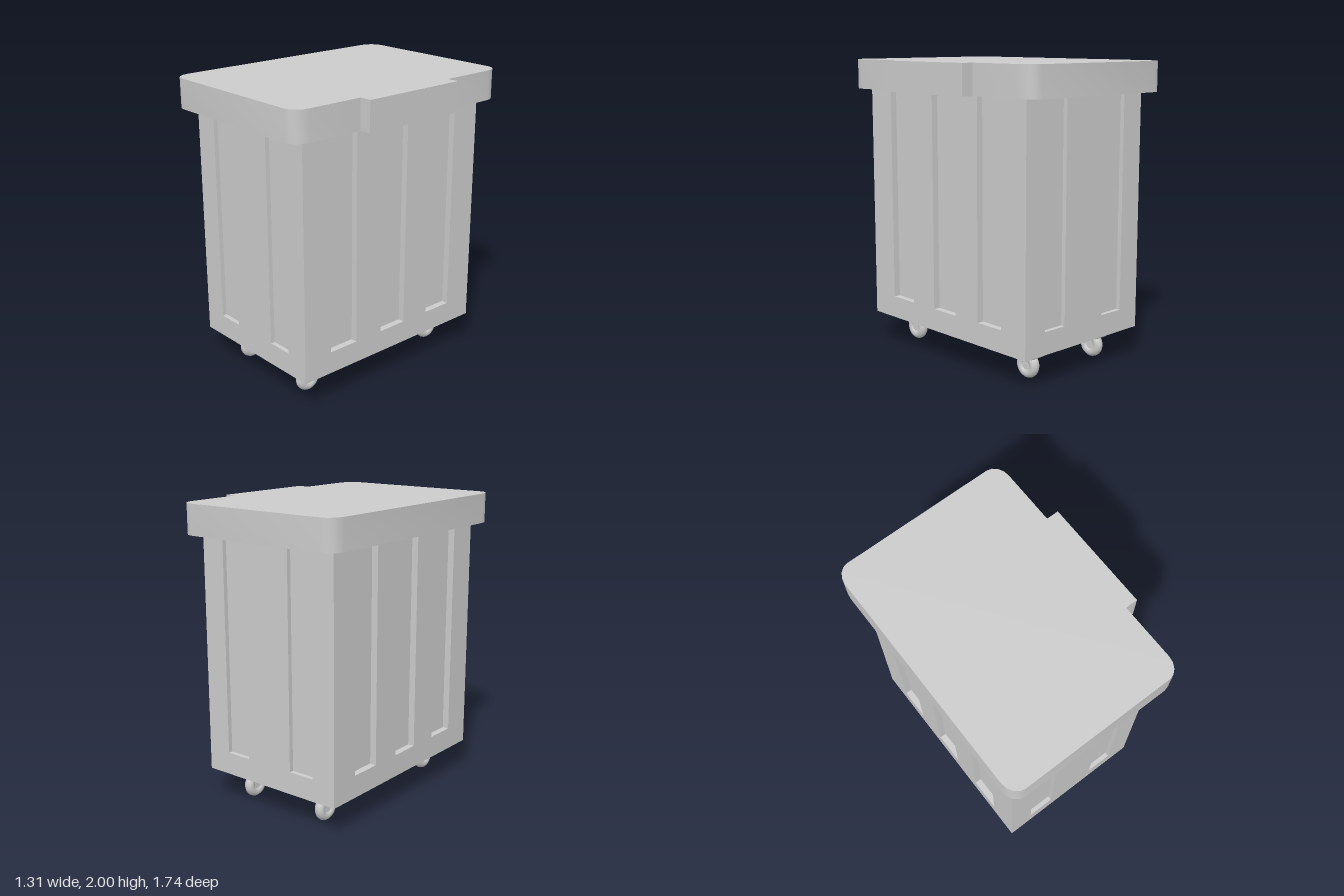
import * as THREE from 'three';
import { mergeGeometries, toCreasedNormals } from 'three/addons/utils/BufferGeometryUtils.js';

const grey = new THREE.MeshStandardMaterial({ color: 0xcccccc, side: THREE.DoubleSide });

function part(name, geometry, parent) {
  const mesh = new THREE.Mesh(geometry, grey);
  mesh.name = name;
  parent.add(mesh);
  return mesh;
}

// Extrudes a plan outline of [x, z] between two heights
function slab(shape, y0, y1, curveSegments = 3) {
  const g = new THREE.ExtrudeGeometry(shape, { depth: y1 - y0, bevelEnabled: false, curveSegments });
  return g.rotateX(-Math.PI / 2).translate(0, y0, 0);
}

const X0 = -0.57, X1 = 0.49, Z = 0.755;
const END_GROOVES = [[-0.4, -0.215], [0.14, 0.32]];
const SIDE_GROOVES = [[-0.543, -0.325], [-0.108, 0.108], [0.325, 0.543]];
const END_DEPTH = 0.03, SIDE_DEPTH = 0.045;

// Plan outline of the bin with grooves cut into all four walls
function groovedOutline() {
  const pts = [];
  const wall = (grooves, flip, place) => {
    const list = flip ? grooves.map(([a, b]) => [b, a]).reverse() : grooves;
    for (const [a, b] of list) pts.push(place(a, 0), place(a, 1), place(b, 1), place(b, 0));
  };
  const add = (x, z) => pts.push(new THREE.Vector2(x, z));
  add(X0, -Z);
  wall(END_GROOVES, false, (t, d) => new THREE.Vector2(t, -Z + d * END_DEPTH));
  add(X1, -Z);
  wall(SIDE_GROOVES, false, (t, d) => new THREE.Vector2(X1 - d * SIDE_DEPTH, t));
  add(X1, Z);
  wall(END_GROOVES, true, (t, d) => new THREE.Vector2(t, Z - d * END_DEPTH));
  add(X0, Z);
  wall(SIDE_GROOVES, true, (t, d) => new THREE.Vector2(X0 + d * SIDE_DEPTH, t));
  return new THREE.Shape(pts);
}

// Lid plan: rounded rectangle with a handle tab on the +x side
function lidOutline() {
  const l = -0.655, r = 0.57, z = 0.87, cx = 0.09, cz = 0.11, tab = 0.653, tz = 0.375;
  const k = 0.45; // how far the control points stay from the corner
  const s = new THREE.Shape();
  s.moveTo(l + cx, -z);
  s.lineTo(r - cx, -z);
  s.bezierCurveTo(r - cx * k, -z, r, -z + cz * k, r, -z + cz);
  s.lineTo(r, -tz);
  s.lineTo(tab, -tz);
  s.lineTo(tab, tz);
  s.lineTo(r, tz);
  s.lineTo(r, z - cz);
  s.bezierCurveTo(r, z - cz * k, r - cx * k, z, r - cx, z);
  s.lineTo(l + cx, z);
  s.bezierCurveTo(l + cx * k, z, l, z - cz * k, l, z - cz);
  s.lineTo(l, -z + cz);
  s.bezierCurveTo(l, -z + cz * k, l + cx * k, -z, l + cx, -z);
  return s;
}

// Curved guard swept over the wheel, with closed ends
function guardGeometry() {
  const profile = [[0.095, -0.052], [0.118, -0.052], [0.136, -0.04], [0.136, 0.04], [0.118, 0.052], [0.095, 0.052]]
    .map(([r, h]) => new THREE.Vector2(r, h));
  const half = 0.95, start = Math.PI * 1.5 - half;
  const sweep = new THREE.LatheGeometry([...profile, profile[0]], 16, start, half * 2);
  const caps = [start, start + half * 2].map((phi) =>
    new THREE.ShapeGeometry(new THREE.Shape(profile)).rotateY(phi - Math.PI / 2));
  const merged = mergeGeometries([sweep, ...caps].map((g) => g.toNonIndexed()));
  return toCreasedNormals(merged, 0.5).rotateZ(-Math.PI / 2);
}

function makeCaster(x, z) {
  const caster = new THREE.Group();
  caster.name = 'caster';
  part('wheelTyre', new THREE.TorusGeometry(0.055, 0.033, 14, 32).rotateY(Math.PI / 2), caster);
  part('wheelHub', new THREE.CylinderGeometry(0.034, 0.034, 0.044, 20).rotateZ(Math.PI / 2), caster);
  part('wheelGuard', guardGeometry(), caster);
  caster.position.set(x, 0.088, z);
  return caster;
}

export function createModel() {
  const model = new THREE.Group();
  model.name = 'wheeledBin';

  // Bin: plain base band below the grooved walls
  const base = new THREE.BoxGeometry(X1 - X0, 0.15, Z * 2);
  part('binBase', base.translate((X0 + X1) / 2, 0.28, 0), model);
  part('binWalls', slab(groovedOutline(), 0.355, 1.8), model);

  // Lid with handle tab
  part('lid', toCreasedNormals(slab(lidOutline(), 1.8, 2, 4), 0.6), model);

  // Four casters
  for (const x of [-0.345, 0.27]) for (const z of [-0.562, 0.562]) model.add(makeCaster(x, z));

  return model;
}
